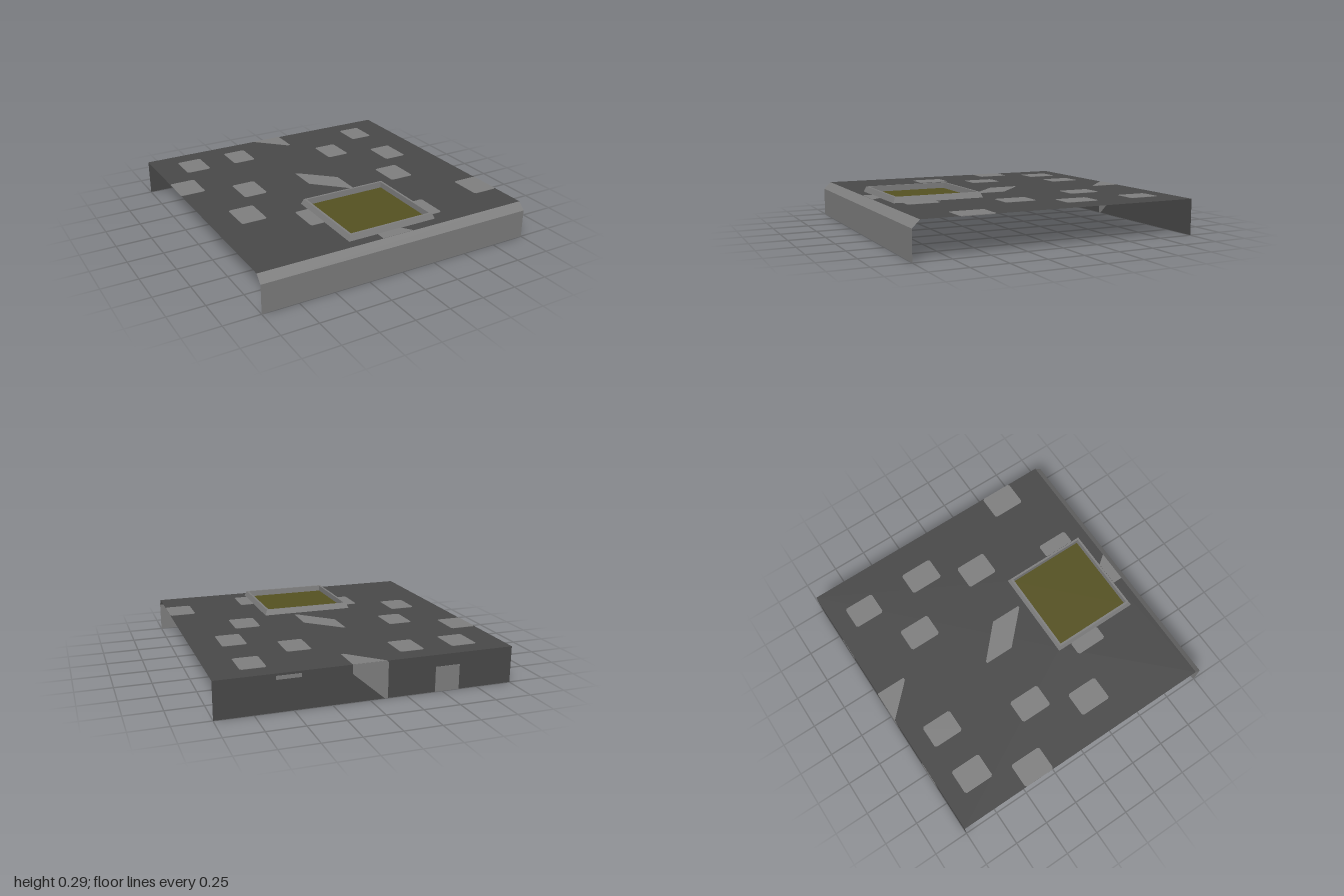
import * as THREE from 'three';

const mat = (name, color, side = THREE.FrontSide) => {
  const m = new THREE.MeshStandardMaterial({ color, side });
  m.name = name;
  return m;
};

export function createModel() {
  const asphalt = mat('dark asphalt', 0x4a4a4a, THREE.DoubleSide);
  const concrete = mat('light grey', 0x808080, THREE.DoubleSide);
  const olive = mat('olive', 0x565222, THREE.DoubleSide);
  const group = new THREE.Group();
  const add = (name, geometry, material) => {
    const mesh = new THREE.Mesh(geometry, material);
    mesh.name = name;
    group.add(mesh);
    return mesh;
  };
  const TOP = 0.25, CZ = 0.56;
  const V = (x, y) => new THREE.Vector2(x, y);
  const rect = (x0, x1, y0, y1) => [V(x0, y0), V(x1, y0), V(x1, y1), V(x0, y1)];
  // Rectangle with slightly cut corners
  const slab = (x0, x1, z0, z1, c = 0.012) => [
    [x0 + c, z0], [x1 - c, z0], [x1, z0 + c], [x1, z1 - c],
    [x1 - c, z1], [x0 + c, z1], [x0, z1 - c], [x0, z0 + c]];

  // Road deck: a flat sheet with an opening below the hatch
  const deckShape = new THREE.Shape(rect(-1, 1, -0.95, 1));
  deckShape.holes.push(new THREE.Path(rect(-0.315, 0.315, -CZ - 0.305, -CZ + 0.305)));
  const deck = new THREE.ShapeGeometry(deckShape).rotateX(-Math.PI / 2);
  add('roadDeck', deck, asphalt).position.y = TOP;

  // Back wall, then front kerb with its sloped top
  add('backWall', new THREE.PlaneGeometry(2, TOP).rotateY(Math.PI), asphalt)
    .position.set(0, TOP / 2, -1);
  add('frontWall', new THREE.PlaneGeometry(2, 0.2), concrete).position.set(0, 0.1, 1);
  add('kerbSlope', new THREE.PlaneGeometry(2, Math.hypot(0.05, 0.05)).rotateX(-Math.PI / 4), concrete)
    .position.set(0, 0.225, 0.975);

  // Pale patches: thin plates that show on both sides of the sheet
  const THICK = 0.004;
  const plate = (points) => new THREE.ExtrudeGeometry(
    new THREE.Shape(points), { depth: THICK, bevelEnabled: false }).translate(0, 0, -THICK / 2);
  const deckPatch = (name, points) => {
    const geometry = plate(points.map(([x, z]) => V(x, -z))).rotateX(-Math.PI / 2);
    add(name, geometry, concrete).position.y = TOP;
  };
  [
    [-0.81, -0.63, -0.87, -0.65], [-0.43, -0.26, -0.87, -0.65], [0.63, 0.8, -0.87, -0.65],
    [0.26, 0.43, -0.63, -0.4], [-1, -0.82, -0.51, -0.28], [0.63, 0.8, -0.39, -0.15],
    [-0.62, -0.45, -0.27, -0.04], [0.44, 0.62, -0.02, 0.21], [-0.81, -0.63, 0.1, 0.33],
    [-0.43, -0.325, 0.34, 0.57], [0.325, 0.43, 0.59, 0.82], [0.815, 1, 0.46, 0.7],
  ].forEach((r) => deckPatch('roadPatch', slab(...r)));

  // Slanted centre line dashes
  deckPatch('backDash', [[-0.11, -1], [0.12, -1], [0.12, -0.79], [0.1, -0.79]]);
  deckPatch('middleDash', [[-0.12, -0.24], [-0.105, -0.24], [0.12, -0.03], [0.12, 0.19],
    [0.105, 0.19], [-0.12, -0.03]]);
  deckPatch('frontDash', [[-0.12, 0.87], [0.05, 0.87], [0.11, 0.95], [-0.12, 0.95]]);

  // Markings carried down the back wall
  const wallPatch = (name, points) => {
    add(name, plate(points), concrete).position.z = -1;
  };
  wallPatch('wallDash', [V(0.12, TOP), V(-0.11, TOP), V(-0.12, 0.24), V(-0.12, 0), V(-0.1, 0), V(0.12, 0.19)]);
  wallPatch('wallPatch', rect(-0.62, -0.45, 0, 0.17));
  wallPatch('wallPatchEdge', rect(0.45, 0.61, 0.21, 0.235));

  // Hatch frame: a cross-section swept around four mitred corners
  const section = [
    [0.33, 0.32, 0.25], [0.315, 0.305, 0.288], [0.3, 0.29, 0.288],
    [0.3, 0.285, 0.243], [0.33, 0.32, 0.25]];
  const corners = [[1, 1], [1, -1], [-1, -1], [-1, 1]];
  const positions = [];
  for (let k = 0; k < 4; k++) {
    const a = corners[k], b = corners[(k + 1) % 4];
    for (let i = 0; i < section.length - 1; i++) {
      const at = ([sx, sz], [hx, hz, y]) => [sx * hx, y, CZ + sz * hz];
      const p = at(a, section[i]), q = at(b, section[i]);
      const r = at(b, section[i + 1]), s = at(a, section[i + 1]);
      positions.push(...p, ...q, ...r, ...p, ...r, ...s);
    }
  }
  const frame = new THREE.BufferGeometry();
  frame.setAttribute('position', new THREE.Float32BufferAttribute(positions, 3));
  frame.computeVertexNormals();
  add('hatchFrame', frame, concrete);

  // Sunken hatch panel
  add('hatchPanel', new THREE.BoxGeometry(0.6, 0.006, 0.575), olive).position.set(0, 0.244, CZ);

  return group;
}
